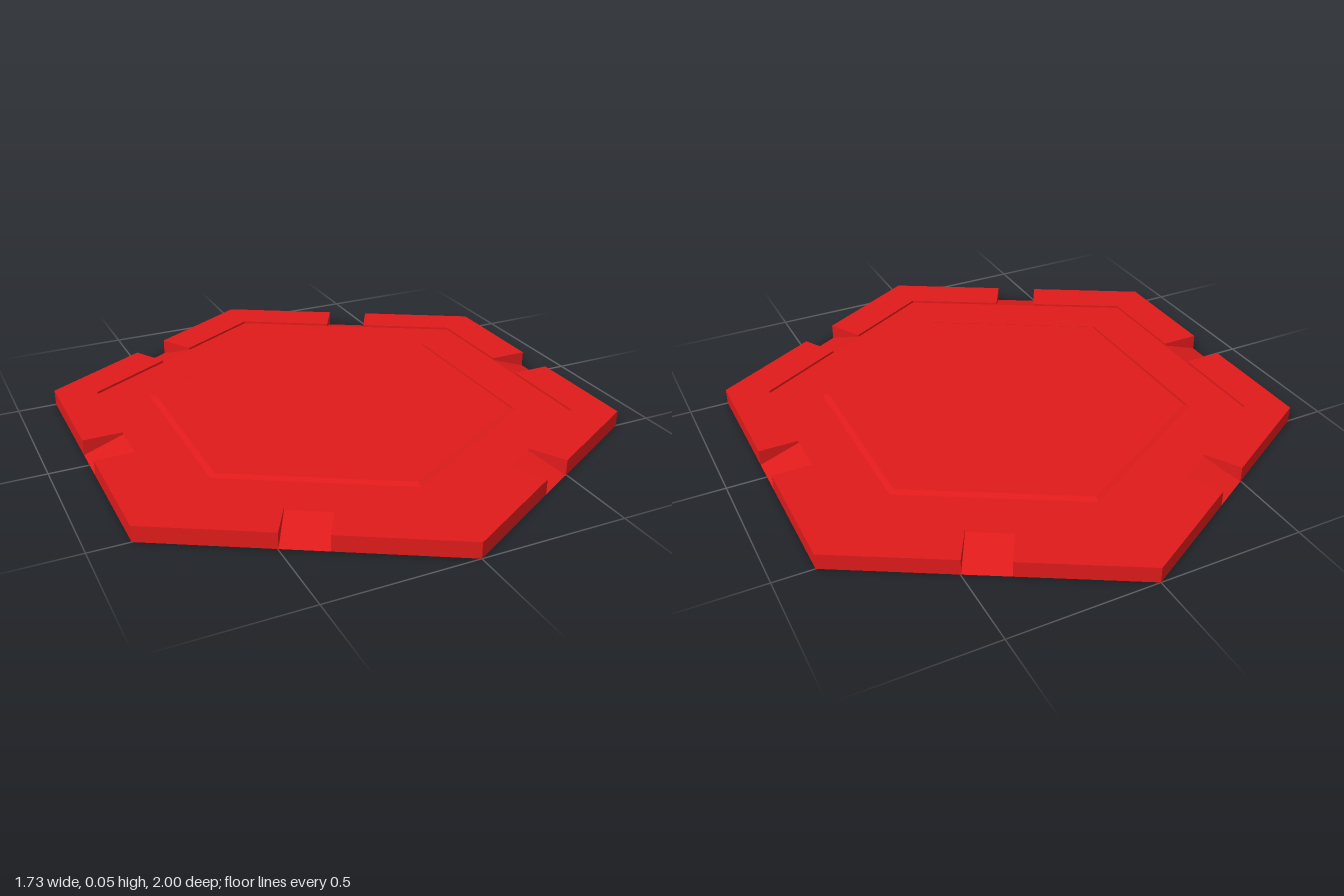
import * as THREE from 'three';

const TOP = 0.055, DECK = 0.047;      // block / plateau height, deck height
const OUT = 0.866, IN = 0.73;         // distance of outer and inner block faces
const GAP = 0.075;                    // half width of the notch in each side
const CORNER = 0.5, IN_CORNER = IN / Math.sqrt(3);

// Flat-shaded sheet from quads; mirrored quads get their order reversed
function sheet(quads, material, name) {
  const pos = [];
  for (const [a, b, c, d] of quads) pos.push(...a, ...b, ...c, ...a, ...c, ...d);
  const geo = new THREE.BufferGeometry();
  geo.setAttribute('position', new THREE.Float32BufferAttribute(pos, 3));
  geo.computeVertexNormals();
  const mesh = new THREE.Mesh(geo, material);
  mesh.name = name;
  return mesh;
}

function mirrorZ(quads) {
  return quads.map(q => q.map(([x, y, z]) => [x, y, -z]).reverse());
}

export function createModel() {
  const model = new THREE.Group();
  model.name = 'hexagonalTile';
  const red = new THREE.MeshStandardMaterial({ color: 0xe01b1b, flatShading: true, side: THREE.DoubleSide });

  // Six-sided deck with a slightly raised centre, open underneath
  const profile = [
    [IN / OUT, DECK], [0.65, DECK], [0.63, TOP], [0, TOP],
  ].map(([r, y]) => new THREE.Vector2(r, y));
  const deck = new THREE.Mesh(new THREE.LatheGeometry(profile, 6), red);
  deck.name = 'deck';
  model.add(deck);

  // Half of a corner block along one side: top, outer wall, inner wall, notch end
  const halfBlock = [
    [[IN, TOP, GAP], [IN, TOP, IN_CORNER], [OUT, TOP, CORNER], [OUT, TOP, GAP]],
    [[OUT, 0, GAP], [OUT, TOP, GAP], [OUT, TOP, CORNER], [OUT, 0, CORNER]],
    [[IN, DECK, GAP], [IN, DECK, IN_CORNER], [IN, TOP, IN_CORNER], [IN, TOP, GAP]],
    [[IN, DECK, GAP], [IN, TOP, GAP], [OUT, TOP, GAP], [OUT, 0, GAP]],
  ];
  // Slope running down to the rim inside the notch
  const slope = [
    [[IN, DECK, -GAP], [IN, DECK, GAP], [OUT, 0, GAP], [OUT, 0, -GAP]],
  ];

  for (let k = 0; k < 6; k++) {
    const side = new THREE.Group();
    side.name = 'rimSide';
    side.add(
      sheet(halfBlock, red, 'cornerBlockHalf'),
      sheet(mirrorZ(halfBlock), red, 'cornerBlockHalf'),
      sheet(slope, red, 'notchSlope'),
    );
    side.rotation.y = k * Math.PI / 3;
    model.add(side);
  }
  return model;
}
